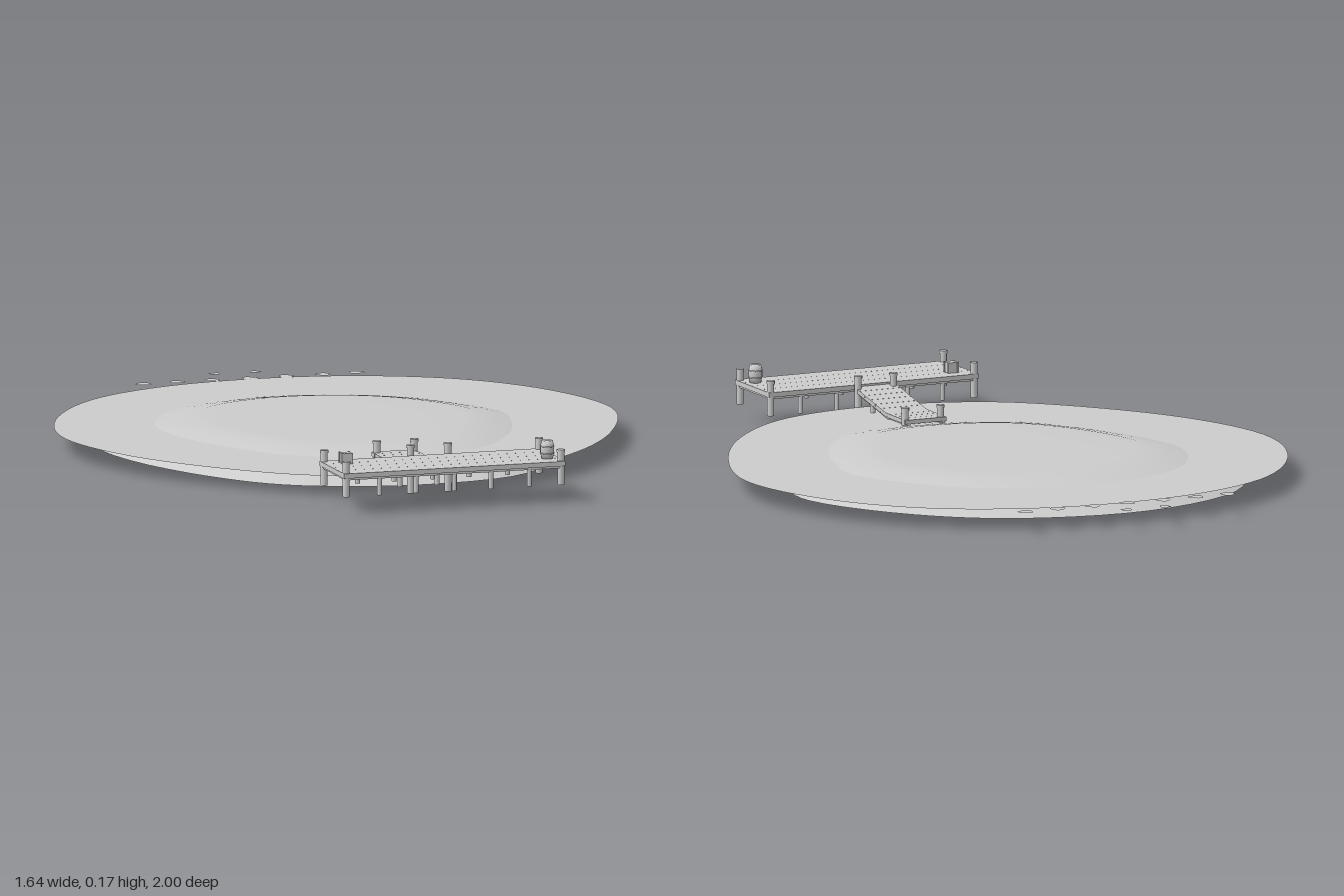
import * as THREE from 'three';

export function createModel() {
  const model = new THREE.Group();
  const grey = new THREE.MeshStandardMaterial({ color: 0xcccccc });
  grey.name = 'pale grey';
  grey.side = THREE.DoubleSide;

  function add(name, geometry, x = 0, y = 0, z = 0) {
    const mesh = new THREE.Mesh(geometry, grey);
    mesh.name = name;
    mesh.position.set(x, y, z);
    model.add(mesh);
    return mesh;
  }
  // closed smooth outline through [x, z] points
  function outline(points, count) {
    const curve = new THREE.CatmullRomCurve3(points.map(([x, z]) => new THREE.Vector3(x, 0, z)), true);
    return curve.getPoints(count).slice(0, count);
  }
  function flatSheet(points) {
    const shape = new THREE.Shape(points.map((p) => new THREE.Vector2(p.x, -p.z)));
    return new THREE.ShapeGeometry(shape).rotateX(-Math.PI / 2);
  }
  function post(name, x, z, bottom, top, r = 0.01) {
    add(name, new THREE.CylinderGeometry(r, r, top - bottom, 10), x, (bottom + top) / 2, z);
  }

  // water sheet
  add('water', flatSheet(outline([
    [0.82, -0.12], [0.74, -0.45], [0.56, -0.69], [0.31, -0.83], [0.03, -0.88], [-0.29, -0.84],
    [-0.55, -0.7], [-0.75, -0.42], [-0.82, -0.12], [-0.73, 0.21], [-0.5, 0.53], [-0.31, 0.68],
    [0, 0.755], [0.29, 0.7], [0.5, 0.54], [0.7, 0.25],
  ], 96)), 0, 0.058, 0);

  // open-bottomed mound, rings scaled from its waterline
  const shore = outline([
    [0.5, -0.16], [0.37, -0.4], [0.19, -0.54], [-0.1, -0.59], [-0.37, -0.48], [-0.51, -0.24],
    [-0.5, -0.05], [-0.39, 0.21], [-0.26, 0.36], [-0.02, 0.44], [0.24, 0.4], [0.4, 0.21], [0.48, 0],
  ], 64);
  const rings = [[1.31, 0], [1.2, 0.025], [1.11, 0.045], [1, 0.058], [0.9, 0.067], [0.8, 0.075], [0.7, 0.077], [0.35, 0.078], [0, 0.078]];
  const n = shore.length, verts = [], faces = [];
  rings.forEach(([s, y], r) => {
    shore.forEach((p, i) => {
      verts.push(p.x * s, y, (p.z + 0.07) * s - 0.07);
      if (r === 0) return;
      const j = (i + 1) % n, a = (r - 1) * n, b = r * n;
      faces.push(a + i, a + j, b + j, a + i, b + j, b + i);
    });
  });
  const mound = new THREE.BufferGeometry();
  mound.setAttribute('position', new THREE.Float32BufferAttribute(verts, 3));
  mound.setIndex(faces);
  mound.computeVertexNormals();
  add('island', mound);

  // main deck: four long boards on cross beams
  const x0 = -0.35, x1 = 0.315, mid = (x0 + x1) / 2;
  for (let i = 0; i < 4; i++) {
    add('deckBoard', new THREE.BoxGeometry(x1 - x0, 0.014, 0.0555), mid, 0.112, 0.803 + i * 0.0562);
  }
  add('deckFrame', new THREE.BoxGeometry(x1 - x0 - 0.01, 0.006, 0.215), mid, 0.102, 0.887);

  // corner posts with caps, and the short piles between them
  for (const z of [0.786, 0.986]) {
    for (const x of [-0.34, 0.305]) {
      post('cornerPost', x, z, 0.05, 0.146);
      post('postCap', x, z, 0.144, 0.152, 0.012);
    }
    for (const x of [-0.24, -0.13, -0.015, 0.095, 0.21]) post('pile', x, z, 0.05, 0.105, 0.007);
  }

  // ramp: boards laid across a bent path, with side rails beneath
  const rampX = -0.02;
  const path = [[0.775, 0.108], [0.57, 0.068], [0.44, 0.068]];
  for (let k = 0; k < 2; k++) {
    const [za, ya] = path[k], [zb, yb] = path[k + 1];
    const length = Math.hypot(za - zb, ya - yb), tilt = -Math.atan2(ya - yb, za - zb);
    const count = k ? 4 : 6;
    for (let i = 0; i < count; i++) {
      const t = (i + 0.5) / count;
      const board = add('rampBoard', new THREE.BoxGeometry(0.13, 0.012, length / count - 0.001),
        rampX, ya + (yb - ya) * t, za + (zb - za) * t);
      board.rotation.x = tilt;
    }
    for (const side of [-1, 1]) {
      const rail = add('rampRail', new THREE.BoxGeometry(0.01, 0.008, length),
        rampX + side * 0.055, (ya + yb) / 2 - 0.008, (za + zb) / 2);
      rail.rotation.x = tilt;
    }
  }
  for (const x of [-0.073, 0.039]) {
    post('rampTopPost', x, 0.762, 0.008, 0.142);
    post('postCap', x, 0.762, 0.14, 0.148, 0.012);
    post('rampEndPost', x, 0.455, 0.058, 0.102);
    post('postCap', x, 0.455, 0.1, 0.108, 0.012);
    post('rampPile', x, 0.665, 0.01, 0.08, 0.007);
    post('rampPile', x, 0.558, 0.018, 0.066, 0.007);
  }

  // barrel with hoops
  const staves = [[0, 0], [0.016, 0], [0.02, 0.016], [0.02, 0.036], [0.016, 0.052], [0, 0.052]];
  add('barrel', new THREE.LatheGeometry(staves.map(([r, y]) => new THREE.Vector2(r, y)), 16), 0.28, 0.119, 0.937);
  for (const y of [0.135, 0.155]) {
    add('barrelHoop', new THREE.TorusGeometry(0.02, 0.0015, 5, 16).rotateX(Math.PI / 2), 0.28, y, 0.937);
  }

  // crate with corner battens
  add('crate', new THREE.BoxGeometry(0.029, 0.03, 0.029), -0.29, 0.134, 0.832);
  for (const dx of [-1, 1]) for (const dz of [-1, 1]) {
    add('crateBatten', new THREE.BoxGeometry(0.005, 0.032, 0.005), -0.29 + dx * 0.014, 0.134, 0.832 + dz * 0.014);
  }

  // floating leaves along the far edge
  const leaves = [[-0.33, -0.895], [-0.23, -0.895], [-0.125, -0.895], [-0.015, -0.89], [0.095, -0.89],
    [0.205, -0.885], [0.305, -0.885], [-0.085, -0.985, 0.75], [0.035, -0.982, 0.75]];
  const leafShape = [[-0.006, -0.021], [0.008, -0.02], [0.023, 0.006], [0.018, 0.018], [0.001, 0.021], [-0.02, 0.016], [-0.022, 0.006]];
  leaves.forEach(([x, z, size = 1], i) => {
    const leaf = add('floatingLeaf', flatSheet(outline(leafShape, 21)), x, 0.059, z);
    leaf.scale.setScalar(size);
    leaf.rotation.y = size < 1 ? 2.6 + i : ((i * 3) % 5 - 2) * 0.2;
  });

  return model;
}
